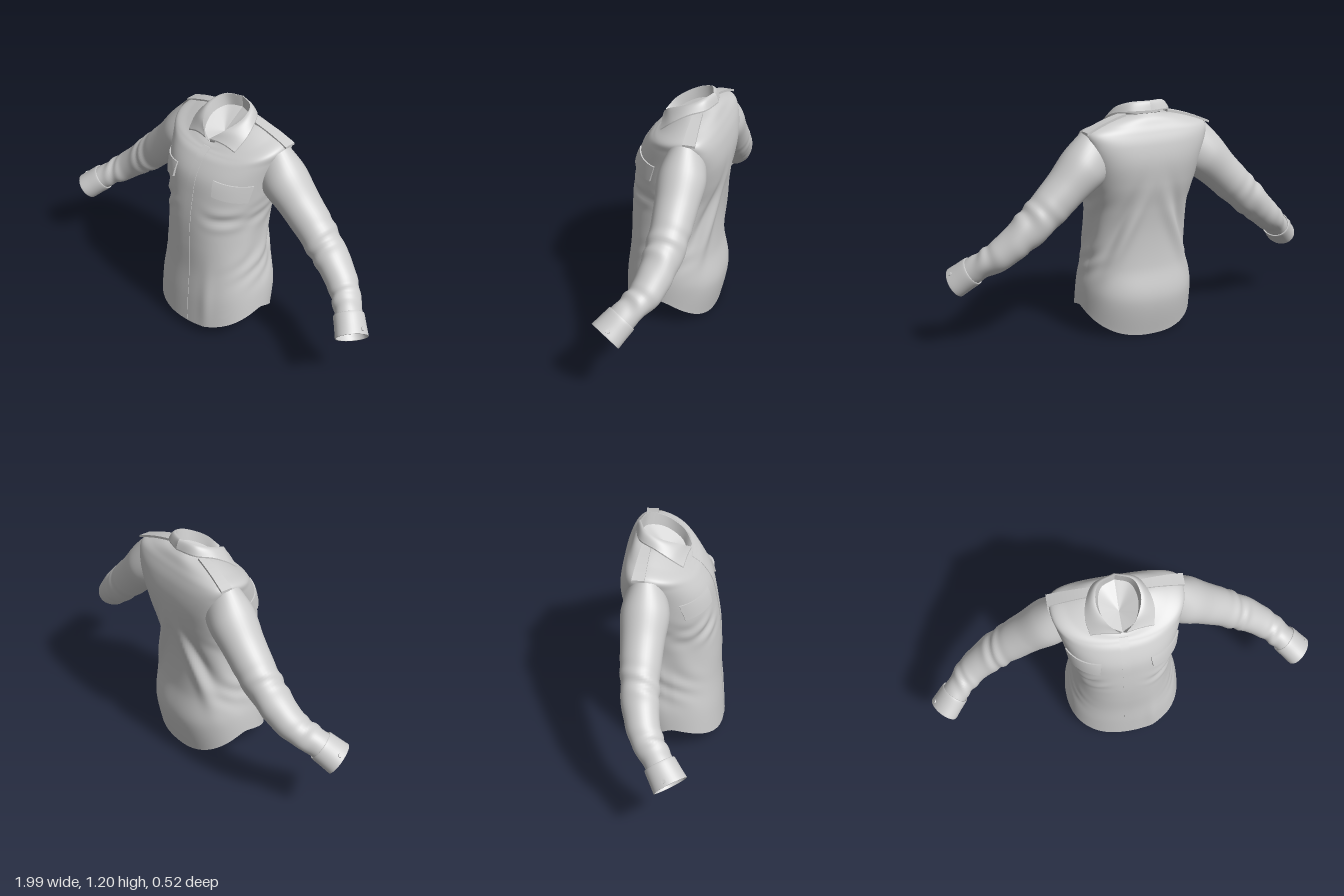
import * as THREE from 'three';

const material = new THREE.MeshStandardMaterial({ color: 0xcccccc, side: THREE.DoubleSide });
const V3 = (x, y, z) => new THREE.Vector3(x, y, z);
const bump = (d, w) => Math.exp(-(d * d) / (w * w));

// Smooth sheet from a rule fn(u, v), u and v in 0..1; wraps around in u when closed
function sheet(name, nu, nv, fn, closed = false) {
  const pos = [], index = [], cols = closed ? nu : nu + 1;
  for (let j = 0; j <= nv; j++)
    for (let i = 0; i < cols; i++) pos.push(...fn(i / nu, j / nv).toArray());
  for (let j = 0; j < nv; j++)
    for (let i = 0; i < nu; i++) {
      const k = (i + 1) % cols, a = j * cols + i, b = j * cols + k, c = a + cols, d = b + cols;
      index.push(a, b, d, a, d, c);
    }
  const geo = new THREE.BufferGeometry();
  geo.setAttribute('position', new THREE.Float32BufferAttribute(pos, 3));
  geo.setIndex(index);
  geo.computeVertexNormals();
  const mesh = new THREE.Mesh(geo, material);
  mesh.name = name;
  return mesh;
}

// Raised cloth panel: fn(u, v, lift) with its border turned down to lift 0
function panel(name, nu, nv, thick, fn) {
  const group = new THREE.Group();
  group.name = name;
  group.add(sheet(name + 'Face', nu, nv, (u, v) => fn(u, v, thick)));
  [(s) => [s, 0], (s) => [s, 1], (s) => [0, s], (s) => [1, s]].forEach((edge) =>
    group.add(sheet(name + 'Edge', Math.max(nu, nv), 1, (s, h) => fn(...edge(s), h * thick))));
  return group;
}

// Catmull-Rom blend through rows of numbers
function blend(rows, t) {
  const f = Math.min(Math.max(t, 0), 1) * (rows.length - 1);
  const i = Math.min(Math.floor(f), rows.length - 2), s = f - i;
  const r = (k) => rows[Math.min(Math.max(k, 0), rows.length - 1)];
  return rows[i].map((b, n) => {
    const a = r(i - 1)[n], c = r(i + 1)[n], d = r(i + 2)[n];
    return b + 0.5 * s * (c - a + s * (2 * a - 5 * b + 4 * c - d + s * (3 * (b - c) + d - a)));
  });
}

// Torso rows: half width, front z, back z, side z, y at the side, front and back, back roundness
const TORSO = [
  [0.300, 0.260, -0.200, 0.010, 0.14, 0.045, 0.000, 0.85],
  [0.292, 0.252, -0.238, 0.000, 0.25, 0.20, 0.19, 0.85],
  [0.270, 0.240, -0.212, -0.010, 0.38, 0.36, 0.36, 0.85],
  [0.256, 0.237, -0.208, -0.020, 0.52, 0.52, 0.52, 0.85],
  [0.258, 0.229, -0.222, -0.040, 0.66, 0.66, 0.66, 0.82],
  [0.282, 0.210, -0.248, -0.065, 0.79, 0.79, 0.79, 0.75],
  [0.300, 0.186, -0.260, -0.090, 0.90, 0.895, 0.90, 0.66],
  [0.320, 0.138, -0.250, -0.110, 1.00, 0.975, 0.99, 0.60],
  [0.322, 0.104, -0.230, -0.115, 1.062, 1.005, 1.05, 0.62],
  [0.245, 0.088, -0.212, -0.115, 1.095, 1.016, 1.085, 0.70],
  [0.165, 0.076, -0.195, -0.100, 1.118, 1.026, 1.115, 0.80],
  [0.098, 0.062, -0.172, -0.065, 1.120, 1.035, 1.135, 0.85],
];

// Point on the torso; angle 0 is the front centre, +90 degrees the wearer's left
function torsoPoint(angle, t, lift = 0) {
  const [w, zf, zb, zc, ys, yf, yb, round] = blend(TORSO, t);
  const s = Math.sin(angle), c = Math.cos(angle), e = c > 0 ? 0.85 : round;
  const sx = Math.sign(s) * Math.abs(s) ** e, cz = Math.sign(c) * Math.abs(c) ** e;
  const x = w * sx, y = ys + ((c > 0 ? yf : yb) - ys) * Math.abs(c) ** 1.2;
  const ax = Math.abs(x);
  // drape: diagonal folds on the back, creases under the pockets and at the sides
  let d = 0;
  if (c < 0) {
    d += 0.019 * bump(ax - 0.03 - (0.78 - y) * 0.42, 0.035) * bump(y - 0.52, 0.2);
    d -= 0.017 * bump(ax - 0.10 - (0.78 - y) * 0.36, 0.03) * bump(y - 0.55, 0.18);
  } else {
    d += 0.007 * Math.sin(y * 62 + ax * 30 + 2 * Math.sin(x * 17)) * bump(ax - 0.18, 0.07) * bump(y - 0.70, 0.06);
    d += 0.008 * bump(x - 0.13, 0.03) * bump(y - 0.2, 0.18);
  }
  d += 0.004 * Math.sin(y * 44 + c * 9 + 2 * Math.sin(y * 17)) * Math.abs(s) ** 6 * bump(y - 0.5, 0.22);
  d += lift;
  return V3(x + d * s, y, zc + (c > 0 ? zf - zc : zc - zb) * cz + d * c);
}

// Point on the torso front at a given x and y
function chestPoint(x, y, lift) {
  let lo = 0, hi = 1, angle = 0;
  for (let k = 0; k < 24; k++) {
    const mid = (lo + hi) / 2, w = blend(TORSO, mid)[0];
    angle = Math.sign(x) * Math.asin(Math.min(1, Math.abs(x) / w) ** (1 / 0.85));
    if (torsoPoint(angle, mid).y < y) lo = mid; else hi = mid;
  }
  return torsoPoint(angle, lo, lift);
}

// Sleeve centre line, then radius across and radius front to back
const SLEEVE = [
  [0.250, 0.956, -0.112, 0.134, 0.092], [0.335, 0.884, -0.112, 0.122, 0.118], [0.430, 0.793, -0.115, 0.104, 0.107],
  [0.535, 0.692, -0.115, 0.097, 0.098], [0.645, 0.592, -0.104, 0.086, 0.091], [0.755, 0.497, -0.074, 0.074, 0.080],
  [0.850, 0.424, -0.006, 0.063, 0.070], [0.940, 0.342, 0.066, 0.062, 0.079],
];

function sleevePoint(side, angle, t, lift = 0) {
  const c = blend(SLEEVE, t), a = blend(SLEEVE, t - 0.02), b = blend(SLEEVE, t + 0.02);
  const T = V3(b[0] - a[0], b[1] - a[1], b[2] - a[2]).normalize();
  const U = V3(0, 0, 1).addScaledVector(T, -T.z).normalize();
  const W = U.clone().cross(T);
  // uneven creases gathered at the elbow and above the cuff
  const wave = Math.sin(t * 55 + 2.2 * Math.sin(angle + side * 0.6) + 1.5 * Math.sin(t * 23 + angle));
  const crease = 0.0045 * wave * (bump(t - 0.52, 0.1) + bump(t - 0.8, 0.07));
  const d = lift || crease;
  const p = V3(c[0], c[1], c[2]).addScaledVector(U, (c[4] + d) * Math.cos(angle)).addScaledVector(W, (c[3] + d) * Math.sin(angle));
  p.x *= side;
  return p;
}

// Half collar curves, from the front centre to the centre of the back
const curve = (...pts) => new THREE.CatmullRomCurve3(pts.map((p) => V3(...p)));
const FOLD = curve([0.014, 1.068, 0.082], [0.070, 1.115, 0.040], [0.108, 1.160, -0.050], [0.085, 1.190, -0.130], [0, 1.197, -0.168]);
const EDGE = curve([0.155, 1.040, 0.054], [0.168, 1.094, -0.012], [0.152, 1.134, -0.085], [0.105, 1.150, -0.160], [0, 1.152, -0.192]);
const SEAM = curve([0.000, 1.030, 0.062], [0.066, 1.062, 0.030], [0.096, 1.110, -0.060], [0.070, 1.130, -0.140], [0, 1.135, -0.170]);

export function createModel() {
  const shirt = new THREE.Group();
  shirt.name = 'shirt';
  const TAU = Math.PI * 2;

  shirt.add(sheet('torso', 128, 110, (u, v) => torsoPoint(u * TAU, v), true));
  // button band down the front, its edges sunk into the cloth
  shirt.add(panel('placket', 8, 110, 0.007, (u, v, h) => chestPoint(-0.022 + 0.044 * u, 0.055 + 0.965 * v, h - 0.004)));

  for (const side of [1, -1]) {
    const tag = side > 0 ? 'left' : 'right';
    shirt.add(sheet(tag + 'Sleeve', 40, 90, (u, v) => sleevePoint(side, u * TAU, v * 0.97), true));

    // cuff: outer band rolling over a hem into an inner lining
    const CUFF = [[0.885, 0.001], [0.888, 0.008], [0.94, 0.008], [0.995, 0.008], [1, 0.005], [0.995, 0.002], [0.92, -0.003]];
    shirt.add(sheet(tag + 'Cuff', 40, 36, (u, v) => {
      const [t, lift] = blend(CUFF, v);
      return sleevePoint(side, u * TAU, t, lift || 0.0001);
    }, true));

    // cuff button
    const button = new THREE.Mesh(new THREE.CylinderGeometry(0.010, 0.011, 0.007, 20), material);
    const base = sleevePoint(side, 1.8, 0.965, 0.009), inner = sleevePoint(side, 1.8, 0.965, -0.03);
    button.position.copy(base);
    button.quaternion.setFromUnitVectors(V3(0, 1, 0), base.clone().sub(inner).normalize());
    button.name = tag + 'CuffButton';
    shirt.add(button);

    // chest pocket flap, drooping outwards with a slanted outer edge
    shirt.add(panel(tag + 'PocketFlap', 16, 10, 0.014, (u, v, h) => {
      const x = 0.120 + 0.155 * u + (0.008 - 0.024 * u) * v;
      const y = 0.914 - 0.020 * u - (0.078 + 0.010 * u) * v;
      return chestPoint(side * x, y, h * (0.6 + 0.4 * v) - 0.002);
    }));

    // shoulder strap
    shirt.add(panel(tag + 'ShoulderStrap', 14, 4, 0.012, (u, v, h) => V3(
      side * (0.115 + 0.220 * u), 1.126 - 0.040 * u - 0.030 * u * u + h,
      -0.125 - 0.02 * u + (v - 0.5) * (0.046 + 0.016 * u))));

    // collar: stand rising to a rounded fold, then the leaf turned down to its point
    const mirror = (p) => p.setX(p.x * side);
    shirt.add(sheet(tag + 'CollarStand', 32, 4, (u, v) => mirror(SEAM.getPoint(u).lerp(FOLD.getPoint(u), v))));
    const leaf = (lift) => (u, v) => {
      const p = FOLD.getPoint(u).lerp(EDGE.getPoint(u), v);
      p.y += lift + 0.012 * Math.sin(v * Math.PI);
      return mirror(p);
    };
    shirt.add(sheet(tag + 'CollarLeaf', 32, 10, leaf(0)));
    shirt.add(sheet(tag + 'CollarLeafUnderside', 32, 10, leaf(-0.007)));
    shirt.add(sheet(tag + 'CollarLeafRim', 32, 1, (u, v) => leaf(-0.007 * v)(u, 1)));
    shirt.add(sheet(tag + 'CollarFrontRim', 10, 1, (u, v) => leaf(-0.007 * v)(0, u)));

    // shallow cone closing the neck
    shirt.add(sheet(tag + 'NeckLining', 32, 4, (u, v) => mirror(SEAM.getPoint(u).lerp(V3(0, 1.05, -0.04), v))));
  }
  return shirt;
}
